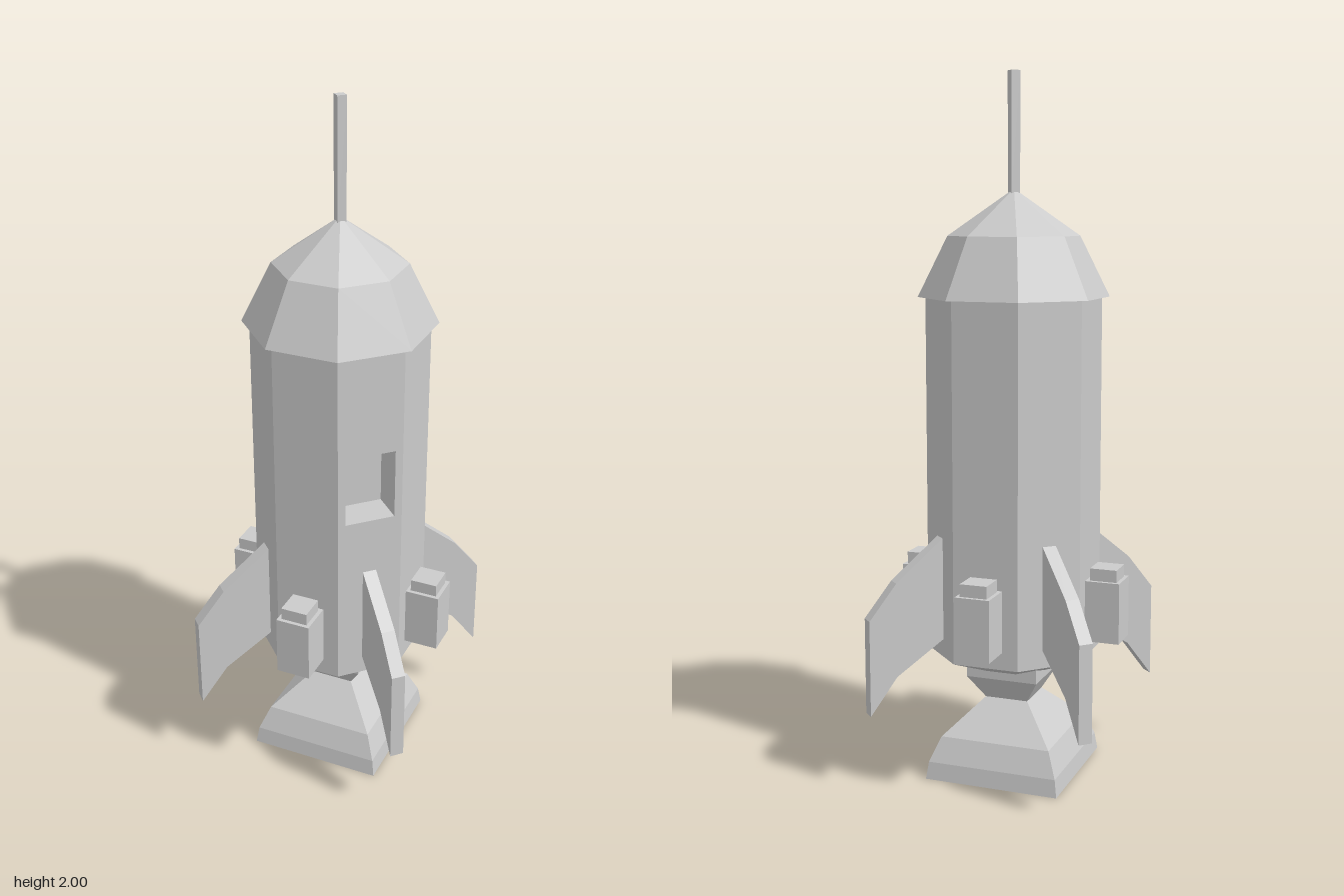
import * as THREE from 'three';

const EIGHTH = Math.PI / 4;
const toCorner = 1 / Math.cos(EIGHTH / 2); // flat-to-flat radius -> corner radius

export function createModel() {
  const group = new THREE.Group();
  group.name = 'rocket';
  const mat = new THREE.MeshStandardMaterial({ color: 0xcccccc, flatShading: true });

  const add = (name, geometry, parent = group) => {
    const mesh = new THREE.Mesh(geometry, mat);
    mesh.name = name;
    parent.add(mesh);
    return mesh;
  };
  const lathe = (pts, sides, start = 0, scale = 1) =>
    new THREE.LatheGeometry(pts.map(([r, y]) => new THREE.Vector2(r * scale, y)), sides, start);
  const polygon = (pts) => new THREE.Shape(pts.map(([x, y]) => new THREE.Vector2(x, y)));
  const rect = (w, y0, y1) => polygon([[-w, y0], [w, y0], [w, y1], [-w, y1]]);

  // Eight-sided hull: seven plain sides, the front one carries the window
  const R = 0.23, bottom = 0.365, top = 1.38, depth = 0.1;
  const hull = add('hull', new THREE.CylinderGeometry(
    R * toCorner, R * toCorner, top - bottom, 7, 1, true, EIGHTH / 2, EIGHTH * 7));
  hull.position.y = (top + bottom) / 2;

  const wall = rect(R * Math.tan(EIGHTH / 2), bottom, top);
  wall.holes.push(rect(0.073, 0.875, 1.08));
  add('frontWall', new THREE.ExtrudeGeometry(wall, { depth, bevelEnabled: false }))
    .position.z = R - depth;
  const pane = add('windowBack', new THREE.PlaneGeometry(0.146, 0.205));
  pane.position.set(0, 0.9775, R - depth);

  // Tapered underside and overhanging nose cone
  add('underside', lathe([[0, 0.31], [0.1, 0.31], [R, bottom]], 8, EIGHTH / 2, toCorner));
  add('noseCone', lathe([[0, top], [0.25, top], [0.172, 1.55], [0, 1.68]], 8, EIGHTH / 2, toCorner));
  add('antenna', new THREE.BoxGeometry(0.026, 0.34, 0.026)).position.y = 1.83;

  // Four-sided engine bell with a hollow mouth
  add('engineBell', lathe([
    [0, 0.06], [0.22, 0.06], [0.24, 0], [0.28, 0], [0.27, 0.05], [0.23, 0.12],
    [0.09, 0.22], [0.15, 0.29], [0.15, 0.33], [0, 0.33],
  ], 4));

  // Swept fins on the axes, booster pods on the diagonals
  const finShape = polygon([
    [0.21, 0.43], [0.37, 0.325], [0.45, 0.22], [0.45, 0.495], [0.37, 0.595], [0.23, 0.71], [0.21, 0.71],
  ]);
  const finGeo = new THREE.ExtrudeGeometry(finShape, { depth: 0.04, bevelEnabled: false });
  finGeo.translate(0, 0, -0.02);
  const podGeo = new THREE.BoxGeometry(0.1, 0.175, 0.1);
  const capGeo = new THREE.BoxGeometry(0.078, 0.035, 0.078);
  for (let i = 0; i < 4; i++) {
    add('fin', finGeo).rotation.y = i * Math.PI / 2;

    const pod = new THREE.Group();
    pod.name = 'boosterPod';
    pod.rotation.y = EIGHTH + i * Math.PI / 2;
    add('podBody', podGeo, pod).position.set(0.281, 0.5025, 0);
    add('podCap', capGeo, pod).position.set(0.281, 0.6075, 0);
    group.add(pod);
  }
  return group;
}
